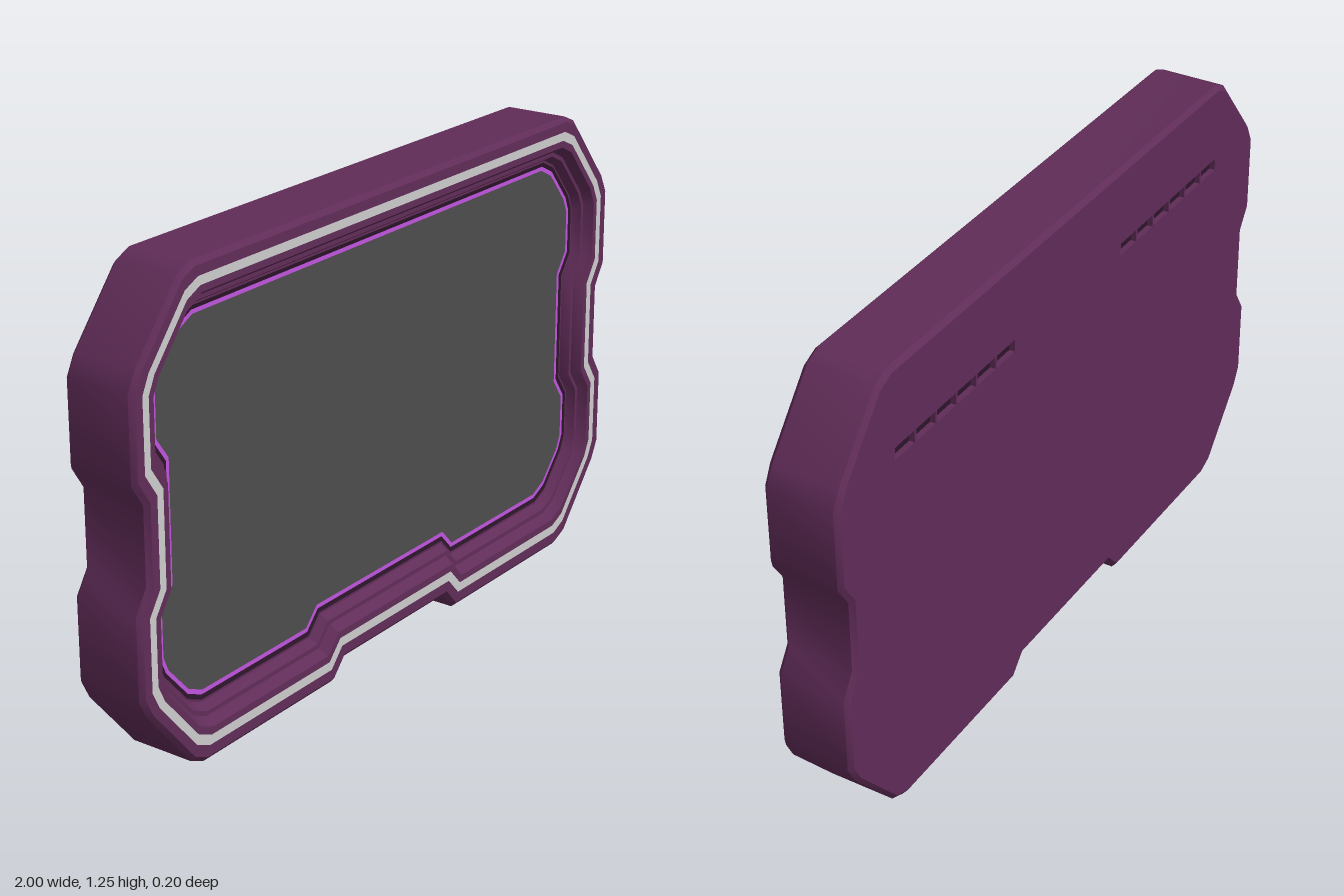
import * as THREE from 'three';
import { toCreasedNormals } from 'three/addons/utils/BufferGeometryUtils.js';

// Right halves of the outer silhouette and the screen edge, bottom to top
const OUTER = [[.225, .05], [.27, 0], [.78, 0], [.825, .02], [.975, .2], [1, .25], [1, .465], [.962, .525],
  [.962, .725], [1, .785], [1, 1], [.975, 1.05], [.825, 1.23], [.78, 1.25]];
const INNER = [[.275, .195], [.32, .147], [.735, .147], [.785, .17], [.86, .255], [.877, .295], [.877, .417], [.837, .475],
  [.837, .783], [.877, .84], [.877, .96], [.86, 1], [.785, 1.09], [.735, 1.115]];

// Full counter-clockwise outline, blended from silhouette (t = 0) to screen edge (t = 1)
function outline(t) {
  const half = OUTER.map(([x, y], i) => new THREE.Vector2(
    THREE.MathUtils.lerp(x, INNER[i][0], t), THREE.MathUtils.lerp(y, INNER[i][1], t)));
  return [...half, ...half.map(p => new THREE.Vector2(-p.x, p.y)).reverse()];
}

// Sweeps a profile of [t, z] pairs around the outline
function band(profile) {
  const rings = profile.map(([t, z]) => outline(t).map(p => [p.x, p.y, z]));
  const n = rings[0].length, pos = [];
  for (let j = 0; j < rings.length - 1; j++) {
    for (let i = 0; i < n; i++) {
      const k = (i + 1) % n;
      const a = rings[j][i], b = rings[j][k], c = rings[j + 1][k], d = rings[j + 1][i];
      pos.push(...a, ...b, ...c, ...a, ...c, ...d);
    }
  }
  const g = new THREE.BufferGeometry();
  g.setAttribute('position', new THREE.Float32BufferAttribute(pos, 3));
  return toCreasedNormals(g, 0.62);
}

export function createModel() {
  const group = new THREE.Group();
  const mat = color => new THREE.MeshStandardMaterial({ color });
  const purple = mat(0x602c58), dark = mat(0x2c1429), grey = mat(0xcccccc);
  const glow = mat(0xc055dd), glass = mat(0x4c4c4c);
  const add = (name, geometry, material, x = 0, y = 0, z = 0) => {
    const mesh = new THREE.Mesh(geometry, material);
    mesh.name = name;
    mesh.position.set(x, y, z);
    group.add(mesh);
  };

  // Chamfered outer wall and front rim, up to the inlaid stripe
  add('shell', band([[.09, -.1], [0, -.088], [0, .088], [.09, .1], [.28, .1]]), purple);
  add('rimStripe', band([[.28, .1], [.45, .1]]), grey);

  // Stepped bezel falling to the screen
  add('bezel', band([[.45, .1], [.58, .1], [.7, .075], [.78, .075], [.88, .052], [.92, .052]]), purple);
  add('screenGasket', band([[.92, .052], [1, .05]]), dark);
  add('screenOutline', band([[1, .05], [1.08, .05]]), glow);
  add('screen', new THREE.ShapeGeometry(new THREE.Shape(outline(1.08))), glass, 0, 0, .05);

  // Back plate pierced by two rows of vent slots
  const back = new THREE.Shape(outline(.09));
  const pitch = .087, slotW = .08, y0 = 1.005, y1 = 1.038;
  for (const side of [-1, 1]) {
    for (let i = 0; i < 6; i++) {
      const x = side * (.298 + i * pitch);
      back.holes.push(new THREE.Path([
        new THREE.Vector2(x - slotW / 2, y0), new THREE.Vector2(x - slotW / 2, y1),
        new THREE.Vector2(x + slotW / 2, y1), new THREE.Vector2(x + slotW / 2, y0)]));
    }
    add('ventFloor', new THREE.BoxGeometry(.56, .06, .01), dark, side * .515, 1.02, -.08);
  }
  add('backPlate', new THREE.ExtrudeGeometry(back, { depth: .02, bevelEnabled: false }), purple, 0, 0, -.1);

  // Small port in the bottom notch
  add('port', new THREE.BoxGeometry(.08, .01, .025), dark, 0, .054, 0);

  return group;
}
